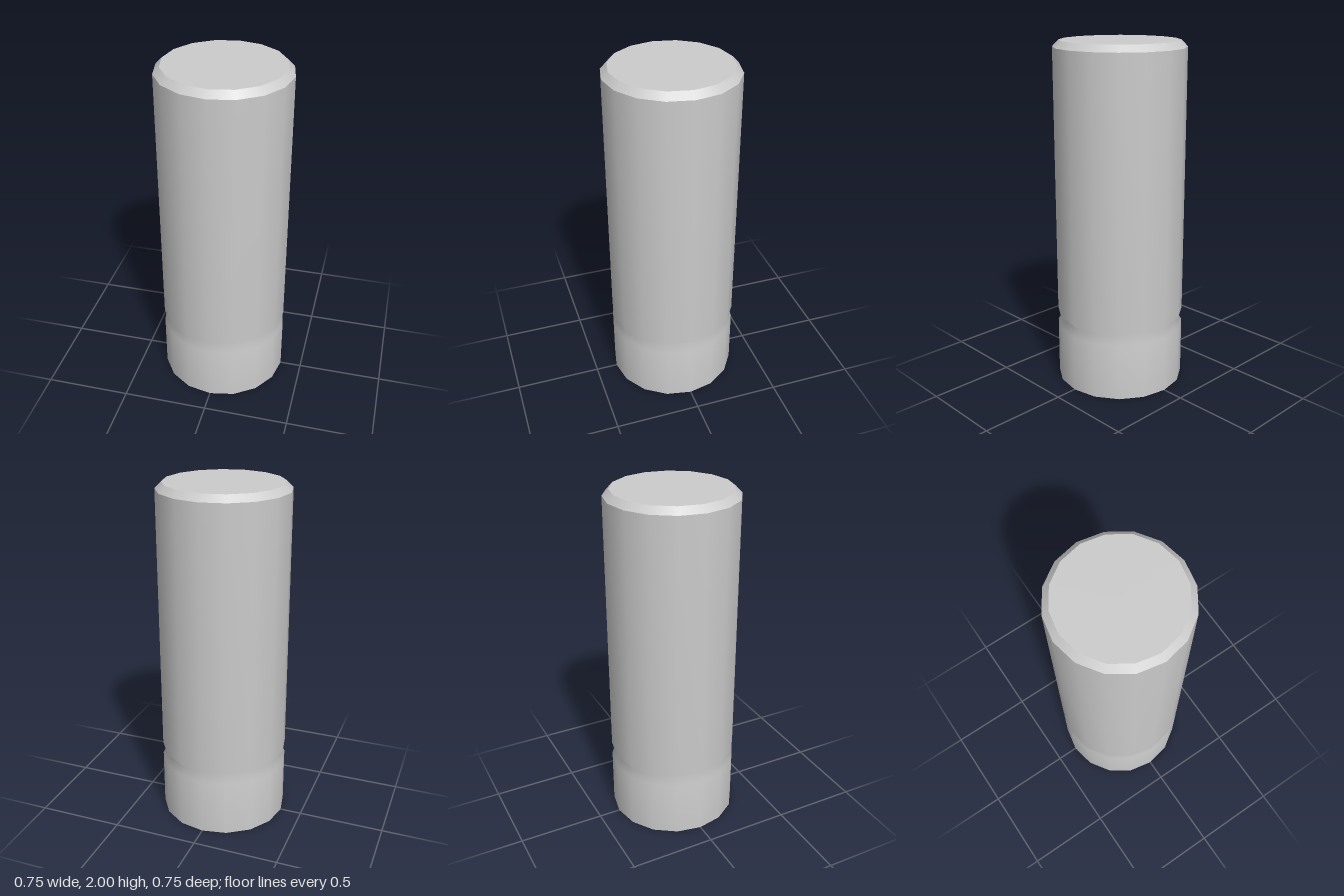
import * as THREE from 'three';

const SIDES = 16;
const R = 0.373; // body radius
const INNER = 0.337; // groove floor and top face radius
const CHAMFER_Y = 1.963;

export function createModel() {
  const group = new THREE.Group();
  group.name = 'groovedPin';
  const material = new THREE.MeshStandardMaterial({ color: 0xcccccc });

  const add = (name, geometry) => {
    const mesh = new THREE.Mesh(geometry, material);
    mesh.name = name;
    group.add(mesh);
    return mesh;
  };
  const lathe = (points) =>
    new THREE.LatheGeometry(points.map(([r, y]) => new THREE.Vector2(r, y)), SIDES);

  // Smooth shaft with a V groove near the foot
  add('shaft', lathe([[R, 0], [R, 0.337], [INNER, 0.375], [R, 0.412], [R, CHAMFER_Y]]));

  // Bevelled rim, kept separate for a sharp edge
  add('topChamfer', lathe([[R, CHAMFER_Y], [INNER, 2]]));

  // Flat end faces
  const top = add('topFace', new THREE.CircleGeometry(INNER, SIDES));
  top.rotation.x = -Math.PI / 2;
  top.position.y = 2;
  const bottom = add('bottomFace', new THREE.CircleGeometry(R, SIDES));
  bottom.rotation.x = Math.PI / 2;

  return group;
}
